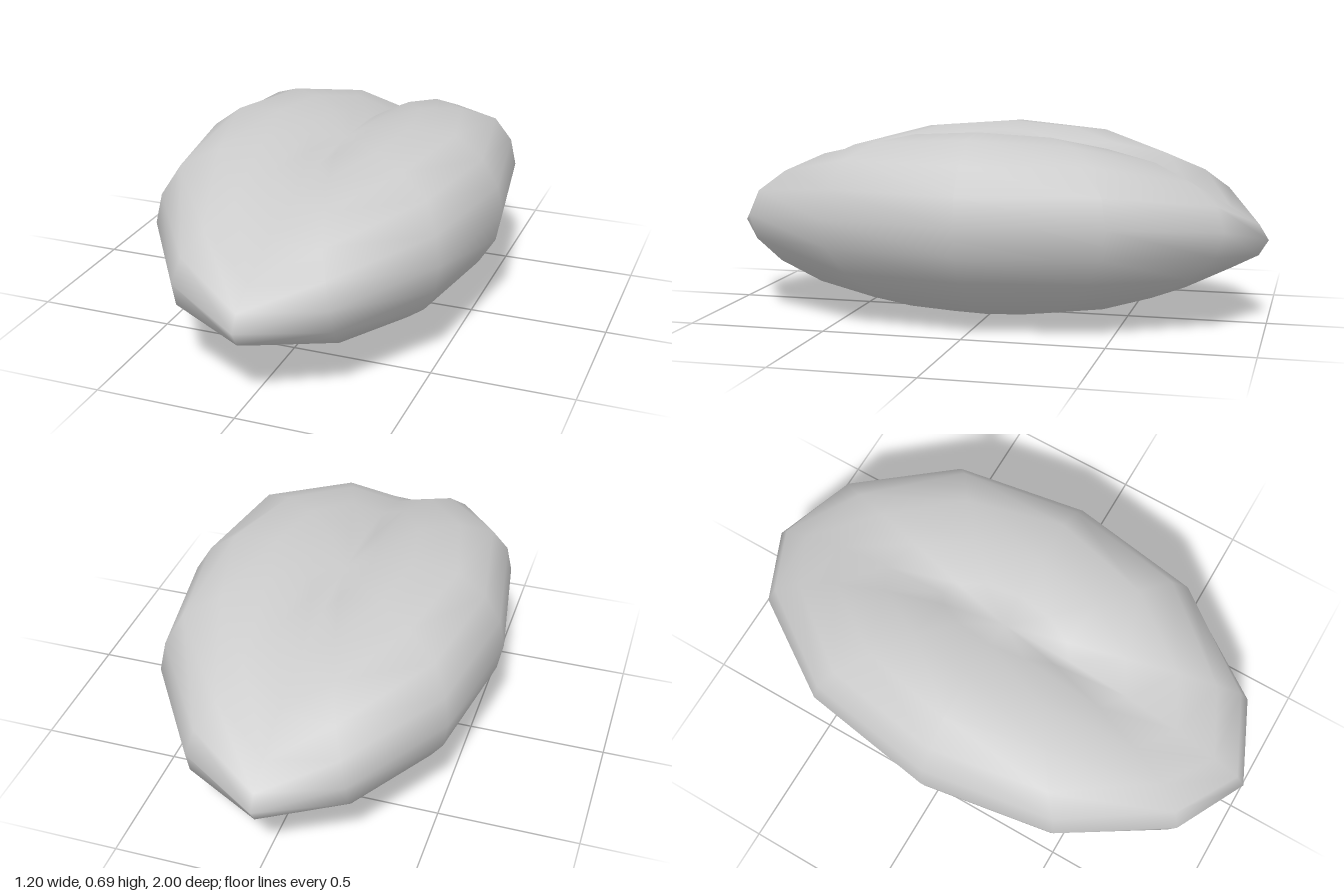
import * as THREE from 'three';
import { mergeVertices } from 'three/addons/utils/BufferGeometryUtils.js';

export function createModel() {
  const group = new THREE.Group();
  group.name = 'heartShapedSeed';

  // Ellipsoid standing on the ground
  let geometry = new THREE.SphereGeometry(1, 12, 12);
  geometry.scale(0.6, 0.4, 1);
  geometry.translate(0, 0.4, 0);
  geometry.deleteAttribute('uv');
  geometry.deleteAttribute('normal');
  geometry = mergeVertices(geometry, 1e-4);

  // Lengthwise groove: upper vertices near the centre plane sink and draw inward
  const pos = geometry.attributes.position;
  for (let i = 0; i < pos.count; i++) {
    const x = pos.getX(i), y = pos.getY(i);
    const across = Math.max(0, 1 - Math.abs(x) / 0.44);
    const upward = THREE.MathUtils.clamp((y - 0.19) / 0.4, 0, 1);
    const weight = across * upward;
    pos.setX(i, x * (1 - 0.48 * weight));
    pos.setY(i, y - 0.185 * weight);
  }
  geometry.computeVertexNormals();

  const body = new THREE.Mesh(geometry, new THREE.MeshStandardMaterial({ color: 0xcccccc }));
  body.name = 'groovedBody';
  group.add(body);
  return group;
}
